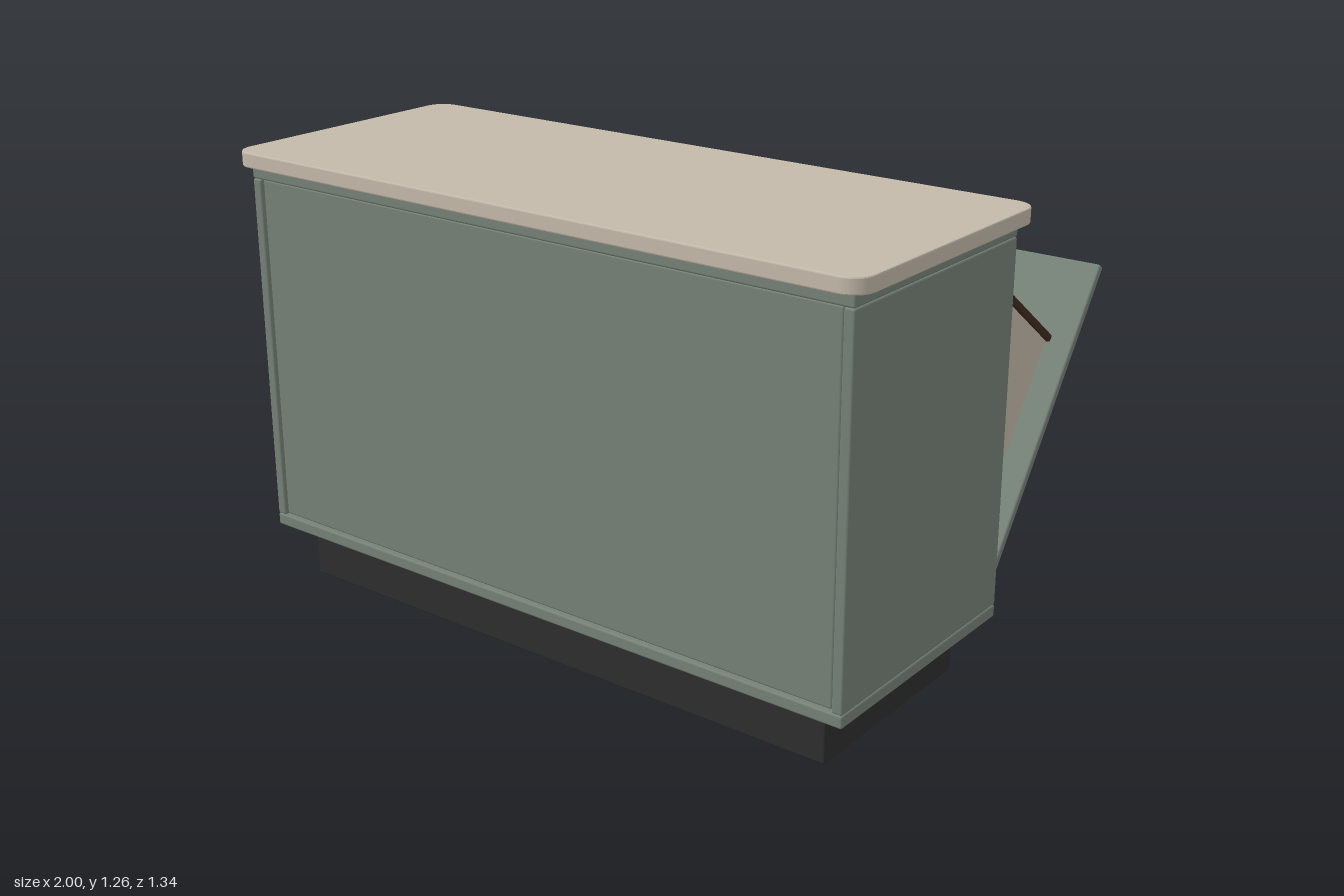
import * as THREE from 'three';
import { RoundedBoxGeometry } from 'three/addons/geometries/RoundedBoxGeometry.js';

function material(name, color) {
  const m = new THREE.MeshStandardMaterial({ color });
  m.name = name;
  return m;
}

export function createModel() {
  const sage = material('sage green', 0x758177);
  const stone = material('warm stone', 0xc4b9aa);
  const cream = material('cream', 0xdcd3c3);
  const walnut = material('dark walnut', 0x412d21);
  const black = material('plinth black', 0x2e2e2e);
  const metal = material('grey metal', 0x737a75);

  const root = new THREE.Group();
  root.name = 'kitchenIsland';

  // Softly rounded box given by its extents on each axis
  function box(parent, name, mat, [x0, x1], [y0, y1], [z0, z1], r = 0.006) {
    const w = x1 - x0, h = y1 - y0, d = z1 - z0;
    const g = new RoundedBoxGeometry(w, h, d, 2, Math.min(r, w * 0.45, h * 0.45, d * 0.45));
    const mesh = new THREE.Mesh(g, mat);
    mesh.name = name;
    mesh.position.set((x0 + x1) / 2, (y0 + y1) / 2, (z0 + z1) / 2);
    parent.add(mesh);
    return mesh;
  }

  // Plinth and hollow carcass
  box(root, 'plinth', black, [-0.88, 0.88], [0, 0.155], [-0.03, 0.573]);
  box(root, 'bottomPanel', sage, [-0.965, 0.965], [0.155, 0.19], [-0.097, 0.637]);
  box(root, 'topPanel', sage, [-0.965, 0.965], [1.18, 1.217], [-0.097, 0.637]);
  for (const s of [-1, 1]) {
    const xs = s > 0 ? [0.935, 0.965] : [-0.965, -0.935];
    box(root, s > 0 ? 'leftSide' : 'rightSide', sage, xs, [0.19, 1.18], [-0.097, 0.637]);
  }
  box(root, 'frontPanel', sage, [-0.932, 0.932], [0.194, 1.18], [0.605, 0.63]);
  box(root, 'divider', sage, [-0.015, 0.015], [0.19, 1.18], [-0.092, 0.606]);

  // Worktop with rounded corners
  const hx = 1, hz = 0.4025, r = 0.06;
  const outline = new THREE.Shape();
  outline.absarc(hx - r, hz - r, r, 0, Math.PI / 2);
  outline.absarc(-hx + r, hz - r, r, Math.PI / 2, Math.PI);
  outline.absarc(-hx + r, -hz + r, r, Math.PI, Math.PI * 1.5);
  outline.absarc(hx - r, -hz + r, r, Math.PI * 1.5, Math.PI * 2);
  outline.closePath();
  const topGeo = new THREE.ExtrudeGeometry(outline, {
    depth: 0.034, bevelEnabled: true, bevelThickness: 0.004, bevelSize: 0.004,
    bevelOffset: -0.004, bevelSegments: 2, curveSegments: 10,
  });
  topGeo.rotateX(-Math.PI / 2);
  const worktop = new THREE.Mesh(topGeo, stone);
  worktop.name = 'worktop';
  worktop.position.set(0, 1.221, 0.2675);
  root.add(worktop);

  // Door with a bow handle, pivoting on its bottom edge
  function makeDoor(name, x0, x1) {
    const door = new THREE.Group();
    door.name = name;
    door.position.set(0, 0.205, -0.11);
    box(door, 'doorPanel', sage, [x0, x1], [0, 0.942], [-0.013, 0.011]);
    const cx = (x0 + x1) / 2, y = 0.8;
    const path = new THREE.CatmullRomCurve3([
      [-0.107, -0.01], [-0.107, -0.045], [-0.09, -0.064], [-0.045, -0.073],
      [0.045, -0.073], [0.09, -0.064], [0.107, -0.045], [0.107, -0.01],
    ].map(([x, z]) => new THREE.Vector3(cx + x, y, z)));
    const handle = new THREE.Mesh(new THREE.TubeGeometry(path, 40, 0.006, 8), metal);
    handle.name = 'handle';
    door.add(handle);
    root.add(door);
    return door;
  }
  makeDoor('closedDoor', -0.932, -0.022);
  const open = makeDoor('tiltDoor', 0.022, 0.932);
  open.rotation.x = -THREE.MathUtils.degToRad(36);

  // Open bin carried by the tilting door
  const bin = new THREE.Group();
  bin.name = 'tiltBin';
  open.add(bin);
  const X = [0.08, 0.875], Z = [0.022, 0.522], t = 0.026;
  function frame(name, ys) {
    box(bin, name + 'Front', walnut, X, ys, [Z[0], Z[0] + t]);
    box(bin, name + 'Back', walnut, X, ys, [Z[1] - t, Z[1]]);
    box(bin, name + 'Left', walnut, [X[1] - t, X[1]], ys, Z);
    box(bin, name + 'Right', walnut, [X[0], X[0] + t], ys, Z);
  }
  frame('rim', [0.695, 0.717]);
  frame('baseTrim', [0.138, 0.162]);
  const wall = [0.145, 0.7];
  box(bin, 'binFront', stone, [0.09, 0.865], wall, [0.031, 0.045], 0.002);
  box(bin, 'binBack', stone, [0.09, 0.865], wall, [0.499, 0.513], 0.002);
  box(bin, 'binLeft', stone, [0.851, 0.865], wall, [0.031, 0.513], 0.002);
  box(bin, 'binRight', stone, [0.09, 0.104], wall, [0.031, 0.513], 0.002);
  box(bin, 'binFloor', stone, [0.09, 0.865], [0.145, 0.163], [0.031, 0.513], 0.002);

  // Block resting in the bin, with a bar and its end brackets
  box(bin, 'innerBlock', cream, [0.167, 0.788], [0.163, 0.267], [0.046, 0.49]);
  box(bin, 'innerBar', walnut, [0.12, 0.835], [0.267, 0.279], [0.148, 0.162], 0.003);
  for (const x of [0.14, 0.812]) {
    box(bin, 'barBracket', metal, [x - 0.01, x + 0.01], [0.163, 0.285], [0.1, 0.165], 0.003);
  }

  // Spacers between door and bin
  for (const x of [0.2, 0.755]) {
    box(bin, 'spacer', metal, [x - 0.02, x + 0.02], [0.18, 0.196], [0.008, 0.034], 0.003);
  }
  return root;
}
